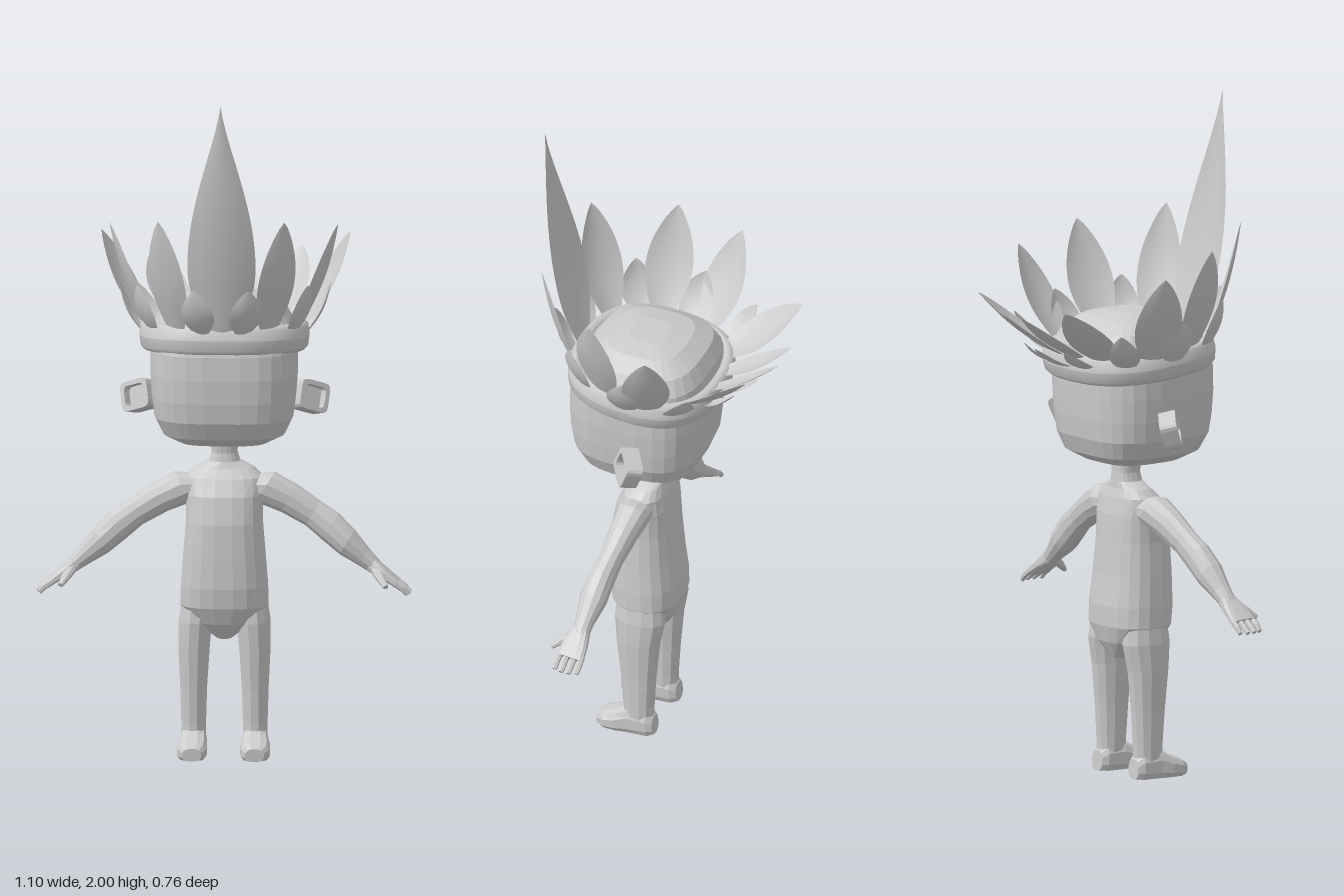
import * as THREE from 'three';

const V = (x, y, z) => new THREE.Vector3(x, y, z);
const skin = new THREE.MeshStandardMaterial({ color: 0xcccccc, flatShading: true });
const smooth = new THREE.MeshStandardMaterial({ color: 0xcccccc });
const thin = new THREE.MeshStandardMaterial({ color: 0xcccccc, side: THREE.DoubleSide });
const sup = (c, n) => Math.sign(c) * Math.abs(c) ** (2 / n);

function add(parent, name, geometry, material = skin) {
  const mesh = new THREE.Mesh(geometry, material);
  mesh.name = name;
  parent.add(mesh);
  return mesh;
}

// Closed skin over superellipse sections [x, y, z, radiusA, radiusB]; A is the direction of radiusA
function loft(sections, A, sides = 16, power = 2.2) {
  const first = V(...sections[0]), last = V(...sections.at(-1));
  const T = last.clone().sub(first).normalize();
  const a = A.clone().addScaledVector(T, -A.dot(T)).normalize();
  const b = T.clone().cross(a);
  const pos = [], idx = [];
  for (const [x, y, z, ra, rb] of sections) {
    for (let j = 0; j < sides; j++) {
      const t = ((j + 0.5) / sides) * Math.PI * 2;
      const p = V(x, y, z).addScaledVector(a, ra * sup(Math.cos(t), power))
        .addScaledVector(b, rb * sup(Math.sin(t), power));
      pos.push(p.x, Math.max(0, p.y), p.z);
    }
  }
  const n = sections.length;
  for (let i = 0; i < n - 1; i++) {
    for (let j = 0; j < sides; j++) {
      const k = (j + 1) % sides, r = i * sides, q = r + sides;
      idx.push(r + j, r + k, q + k, r + j, q + k, q + j);
    }
  }
  pos.push(...first.toArray(), ...last.toArray());
  const end = (n - 1) * sides;
  for (let j = 0; j < sides; j++) {
    const k = (j + 1) % sides;
    idx.push(n * sides, k, j, n * sides + 1, end + j, end + k);
  }
  const g = new THREE.BufferGeometry();
  g.setAttribute('position', new THREE.Float32BufferAttribute(pos, 3));
  g.setIndex(idx);
  g.computeVertexNormals();
  return g;
}

// Cupped leaf-shaped blade from base to tip, bowed outwards
function feather(base, tip, width, { peak = 0.45, point = 0.8, bow = 0.015 } = {}) {
  const out = V(base.x, 0, base.z - 0.045).normalize();
  const across = V(0, 1, 0).cross(out);
  const axis = tip.clone().sub(base).normalize();
  across.addScaledVector(axis, -across.dot(axis)).normalize();
  const normal = axis.clone().cross(across).negate();
  const g = new THREE.PlaneGeometry(1, 1, 6, 18), p = g.attributes.position;
  for (let i = 0; i < p.count; i++) {
    const u = p.getX(i) * 2, t = p.getY(i) + 0.5;
    const w = t < peak
      ? 0.35 + 0.65 * Math.sin((t / peak) * Math.PI / 2)
      : Math.max(0, Math.cos(((t - peak) / (1 - peak)) * Math.PI / 2)) ** point;
    const v = base.clone().lerp(tip, t)
      .addScaledVector(across, u * w * width / 2)
      .addScaledVector(normal, bow * Math.sin(Math.PI * t) - 0.1 * width * w * u * u);
    p.setXYZ(i, v.x, v.y, v.z);
  }
  g.computeVertexNormals();
  return g;
}

function headBand() {
  const tube = 0.1, g = new THREE.TorusGeometry(1, tube, 10, 48), p = g.attributes.position;
  for (let i = 0; i < p.count; i++) {
    const x = p.getX(i), y = p.getY(i), r = Math.hypot(x, y);
    const off = (r - 1) / tube * 0.022, h = sup(p.getZ(i) / tube, 3) * 0.043;
    p.setXYZ(i, (0.227 + off) * sup(x / r, 2.5), h, -(0.21 + off) * sup(y / r, 2.5));
  }
  g.computeVertexNormals();
  return g;
}

function roundedRect(path, w, h, r) {
  path.moveTo(-w + r, -h);
  path.lineTo(w - r, -h).quadraticCurveTo(w, -h, w, -h + r);
  path.lineTo(w, h - r).quadraticCurveTo(w, h, w - r, h);
  path.lineTo(-w + r, h).quadraticCurveTo(-w, h, -w, h - r);
  path.lineTo(-w, -h + r).quadraticCurveTo(-w, -h, -w + r, -h);
  return path;
}

function addEar(parent, s, side) {
  const ear = new THREE.Group();
  ear.name = side + 'Ear';
  const rim = roundedRect(new THREE.Shape(), 0.05, 0.044, 0.02);
  rim.holes.push(roundedRect(new THREE.Path(), 0.036, 0.03, 0.014));
  const opts = { bevelEnabled: false, curveSegments: 3 };
  add(ear, 'earRim', new THREE.ExtrudeGeometry(rim, { ...opts, depth: 0.025 }));
  const plate = add(ear, 'earBack', new THREE.ExtrudeGeometry(
    roundedRect(new THREE.Shape(), 0.05, 0.044, 0.02), { ...opts, depth: 0.025 }));
  plate.position.z = -0.025;
  ear.position.set(s * 0.25, 1.06, 0.01);
  ear.rotation.set(-0.3, s * 0.65, -s * 0.15);
  parent.add(ear);
}

function addLimbs(parent, s, side) {
  const X = V(1, 0, 0), Z = V(0, 0, 1);
  add(parent, side + 'Leg', loft([
    [s * 0.09, 0.03, 0.045, 0.036, 0.046], [s * 0.09, 0.1, 0.045, 0.037, 0.047],
    [s * 0.09, 0.2, 0.046, 0.04, 0.054], [s * 0.089, 0.32, 0.047, 0.047, 0.066],
    [s * 0.085, 0.4, 0.043, 0.05, 0.077], [s * 0.08, 0.47, 0.043, 0.045, 0.07]], X, 12));
  add(parent, side + 'Foot', loft([
    [s * 0.09, 0.03, -0.006, 0.026, 0.03], [s * 0.09, 0.035, 0.012, 0.036, 0.045],
    [s * 0.09, 0.035, 0.07, 0.04, 0.052], [s * 0.092, 0.027, 0.11, 0.045, 0.038],
    [s * 0.093, 0.022, 0.145, 0.043, 0.03], [s * 0.092, 0.018, 0.168, 0.028, 0.02]], X, 12, 2.6));
  add(parent, side + 'Arm', loft([
    [s * 0.06, 0.8, 0.045, 0.045, 0.04], [s * 0.12, 0.797, 0.048, 0.05, 0.052],
    [s * 0.19, 0.765, 0.053, 0.042, 0.047], [s * 0.26, 0.722, 0.06, 0.035, 0.042],
    [s * 0.31, 0.685, 0.068, 0.038, 0.046], [s * 0.36, 0.64, 0.075, 0.041, 0.042],
    [s * 0.41, 0.596, 0.079, 0.029, 0.029], [s * 0.445, 0.566, 0.081, 0.025, 0.022]], Z, 12));

  const hand = new THREE.Group();
  hand.name = side + 'Hand';
  add(hand, 'palm', loft([
    [s * 0.43, 0.577, 0.08, 0.025, 0.022], [s * 0.465, 0.551, 0.085, 0.038, 0.018],
    [s * 0.508, 0.521, 0.086, 0.043, 0.012]], Z, 12, 3));
  for (let i = 0; i < 4; i++) {
    const z = 0.052 + i * 0.023, reach = i === 0 || i === 3 ? 0.539 : 0.546;
    add(hand, 'finger', loft([
      [s * 0.5, 0.526, z, 0.0095, 0.01], [s * 0.525, 0.509, z, 0.009, 0.009],
      [s * reach, 0.494, z, 0.007, 0.007]], Z, 6));
  }
  add(hand, 'thumb', loft([
    [s * 0.445, 0.562, 0.1, 0.016, 0.014], [s * 0.458, 0.545, 0.128, 0.014, 0.012],
    [s * 0.476, 0.522, 0.158, 0.008, 0.007]], X, 8));
  parent.add(hand);
}

export function createModel() {
  const model = new THREE.Group();
  model.name = 'figure';
  const X = V(1, 0, 0);

  // Neck and torso in one skin
  add(model, 'torso', loft([
    [0, 0.35, 0.035, 0.025, 0.05], [0, 0.4, 0.042, 0.09, 0.085], [0, 0.45, 0.046, 0.13, 0.102],
    [0, 0.51, 0.05, 0.128, 0.106], [0, 0.6, 0.055, 0.121, 0.1], [0, 0.7, 0.057, 0.113, 0.094],
    [0, 0.78, 0.052, 0.113, 0.083], [0, 0.83, 0.044, 0.112, 0.064], [0, 0.856, 0.037, 0.085, 0.048],
    [0, 0.875, 0.033, 0.045, 0.043], [0, 0.9, 0.032, 0.038, 0.04], [0, 0.96, 0.035, 0.041, 0.042]], X, 20, 2.5));

  // Boxy, rounded head
  add(model, 'head', loft([
    [0, 0.93, 0.05, 0.06, 0.06], [0, 0.94, 0.05, 0.13, 0.12], [0, 0.968, 0.053, 0.18, 0.17],
    [0, 1.02, 0.056, 0.204, 0.193], [0, 1.08, 0.057, 0.211, 0.201], [0, 1.15, 0.057, 0.215, 0.205],
    [0, 1.22, 0.055, 0.215, 0.205], [0, 1.29, 0.05, 0.205, 0.194], [0, 1.335, 0.045, 0.178, 0.165],
    [0, 1.367, 0.045, 0.125, 0.115], [0, 1.38, 0.045, 0.06, 0.055]], X, 28, 3.2));

  for (const [s, side] of [[1, 'left'], [-1, 'right']]) {
    addLimbs(model, s, side);
    addEar(model, s, side);
  }

  // Feathered headdress
  const crown = new THREE.Group();
  crown.name = 'headdress';
  model.add(crown);
  const band = add(crown, 'headBand', headBand(), smooth);
  band.position.set(0, 1.252, 0.043);
  band.rotation.x = -0.1;

  add(crown, 'frontFeather', feather(V(0, 1.28, 0.262), V(0, 2, 0.383), 0.2,
    { peak: 0.3, point: 1.3, bow: 0.022 }), thin);

  // [base, tip, width] of each mirrored feather
  const large = [
    [[0.135, 1.28, 0.225], [0.185, 1.64, 0.315], 0.13],
    [[0.215, 1.27, 0.105], [0.335, 1.595, 0.1], 0.14],
    [[0.22, 1.25, -0.035], [0.365, 1.535, -0.09], 0.14],
    [[0.135, 1.25, -0.12], [0.215, 1.44, -0.345], 0.135],
    [[0.045, 1.25, -0.145], [0.047, 1.405, -0.382], 0.085]];
  const small = [
    [[0.06, 1.29, 0.262], [0.08, 1.435, 0.32], 0.1],
    [[0.2, 1.27, 0.165], [0.25, 1.43, 0.2], 0.1],
    [[0.235, 1.25, 0.035], [0.31, 1.4, 0], 0.1],
    [[0.19, 1.24, -0.1], [0.265, 1.36, -0.18], 0.09],
    [[0.09, 1.235, -0.155], [0.1, 1.3, -0.265], 0.07]];
  for (const s of [1, -1]) {
    for (const [name, list] of [['largeFeather', large], ['smallFeather', small]]) {
      for (const [[bx, by, bz], [tx, ty, tz], w] of list) {
        add(crown, name, feather(V(s * bx, by, bz), V(s * tx, ty, tz), w), thin);
      }
    }
  }
  add(crown, 'smallFeather', feather(V(0, 1.23, -0.16), V(0, 1.3, -0.3), 0.07), thin);
  return model;
}
